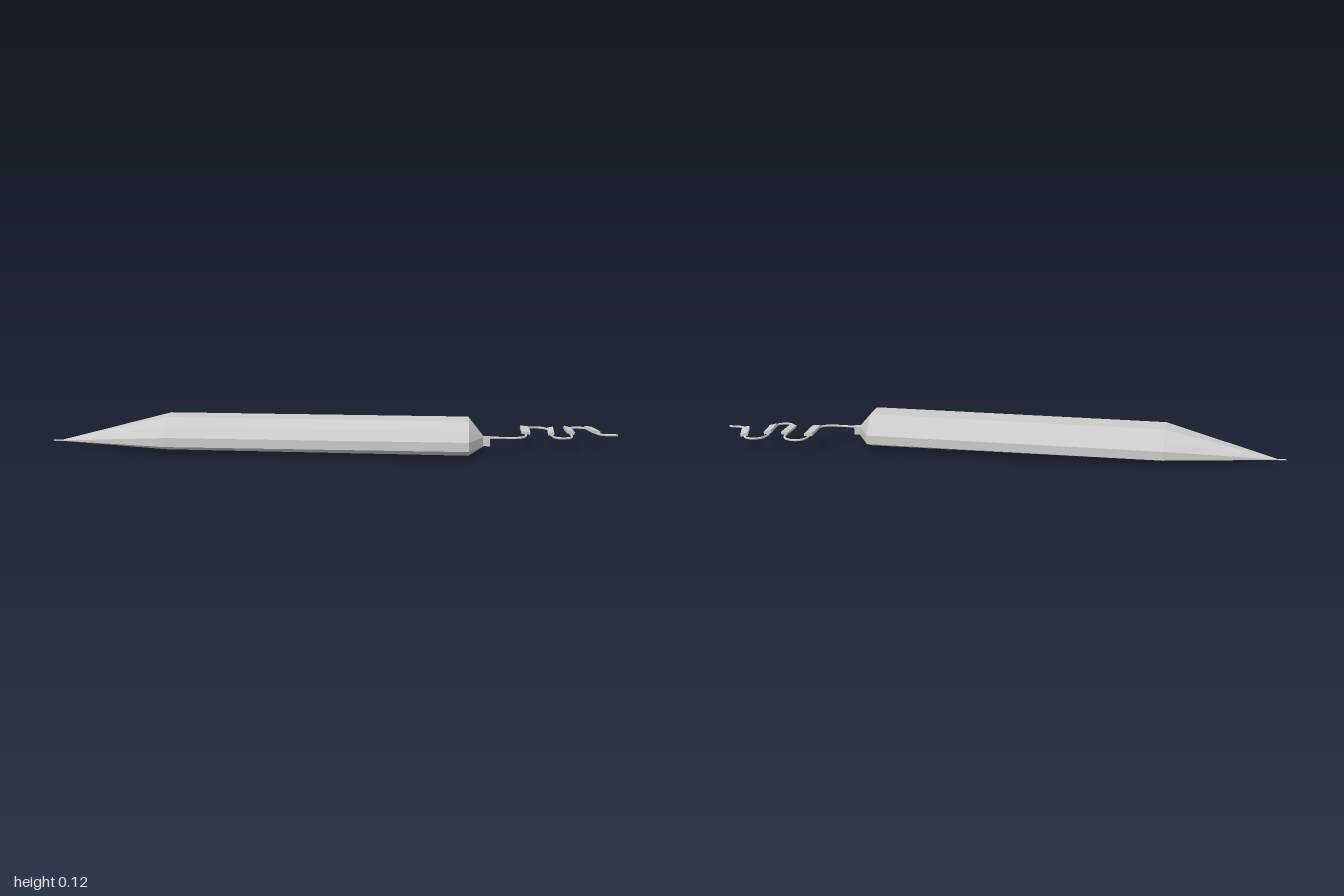
import * as THREE from 'three';

const material = new THREE.MeshStandardMaterial({ color: 0xcccccc, flatShading: true, side: THREE.DoubleSide });

// Skin a list of equally long rings of [x, y, z] points
function loft(rings) {
  const pos = [];
  const n = rings[0].length;
  for (let r = 0; r < rings.length - 1; r++) {
    for (let i = 0; i < n; i++) {
      const j = (i + 1) % n;
      const a = rings[r][i], b = rings[r][j], c = rings[r + 1][j], d = rings[r + 1][i];
      pos.push(...a, ...b, ...c, ...a, ...c, ...d);
    }
  }
  const geometry = new THREE.BufferGeometry();
  geometry.setAttribute('position', new THREE.Float32BufferAttribute(pos, 3));
  geometry.computeVertexNormals();
  return geometry;
}

export function createModel() {
  const group = new THREE.Group();
  const add = (name, geometry) => {
    const mesh = new THREE.Mesh(geometry, material);
    mesh.name = name;
    group.add(mesh);
    return mesh;
  };

  // Faceted body section as [z, y], running round from the bottom
  const section = [
    [0.014, 0.002], [0.093, 0.002], [0.153, 0.028], [0.153, 0.06], [0.127, 0.094],
    [0.094, 0.123], [0.004, 0.123], [-0.027, 0.092], [-0.053, 0.06], [-0.053, 0.028],
  ];
  const ring = (x, f = ([z, y]) => [z, y]) => section.map((p) => {
    const [z, y] = f(p);
    return [x, y, z];
  });
  const tip = ([z, y]) => [0.046 + (z - 0.05) * 0.02, 0.023 + (y - 0.06) * 0.03];
  const ridge = ([, y]) => [0.05, THREE.MathUtils.clamp(y, 0.028, 0.06)];

  // Long pointed nose, straight barrel and blunt cap closing on a short upright ridge
  add('body', loft([
    ring(-0.97, tip),
    ring(-0.58, ([z, y]) => [z, Math.max(y, 0.007)]),
    ring(0.475),
    ring(0.53, ridge),
  ]));

  // Fine needle at the nose
  const needle = add('needle', new THREE.CylinderGeometry(0.0025, 0.0025, 0.04, 6));
  needle.rotation.z = Math.PI / 2;
  needle.position.set(-0.98, 0.023, 0.046);

  // Small block that holds the tail
  add('tailMount', new THREE.BoxGeometry(0.025, 0.034, 0.01)).position.set(0.5375, 0.046, 0.052);

  // Winding tail wire, points as [x, z]
  const path = [
    [0.53, 0.047], [0.6, 0.05], [0.65, 0.044], [0.674, 0.02], [0.677, -0.05],
    [0.68, -0.11], [0.69, -0.134], [0.717, -0.145], [0.746, -0.136], [0.762, -0.11],
    [0.767, -0.05], [0.77, 0.01], [0.78, 0.034], [0.805, 0.043], [0.83, 0.03],
    [0.838, 0], [0.832, -0.06], [0.829, -0.115], [0.843, -0.143], [0.87, -0.153],
    [0.895, -0.145], [0.906, -0.125], [0.926, -0.06], [0.936, -0.038], [0.955, -0.026], [1, -0.025],
  ];
  const curve = new THREE.CatmullRomCurve3(path.map(([x, z]) => new THREE.Vector3(x, 0.058, z)));
  add('tailWire', new THREE.TubeGeometry(curve, 140, 0.004, 6, false));

  // Slightly rolled bars clipped on the straight runs: x, y, z, width, length, yaw, roll
  const bars = [
    [0.677, 0.067, -0.05, 0.03, 0.102, 0, -0.12],
    [0.767, 0.065, -0.048, 0.022, 0.096, -0.04, 0.2],
    [0.832, 0.067, -0.058, 0.027, 0.086, 0.06, -0.25],
    [0.917, 0.063, -0.09, 0.026, 0.088, 0.27, -0.15],
  ];
  for (const [x, y, z, width, length, yaw, roll] of bars) {
    const bar = add('tailBar', new THREE.BoxGeometry(width, 0.01, length));
    bar.position.set(x, y, z);
    bar.rotation.set(0, yaw, roll);
  }
  return group;
}
